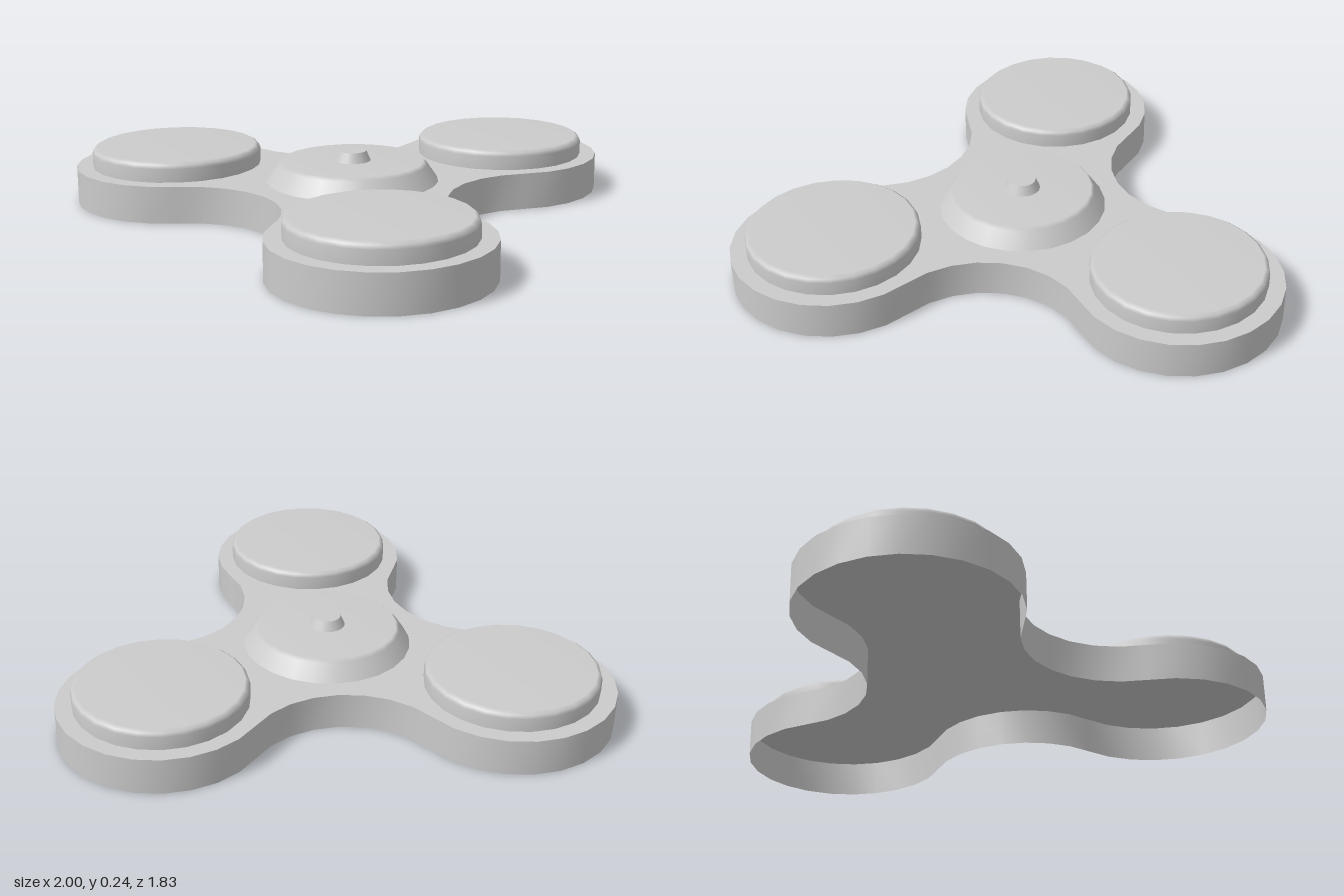
import * as THREE from 'three';

const HUB_Z = 0.178;   // hub centre along z
const ARM = 0.722;     // hub centre to lobe centre
const LOBE_R = 0.375;
const BODY_H = 0.135;
const TOP = 0.207;

const grey = new THREE.MeshStandardMaterial({ color: 0xcccccc });
const greyThin = new THREE.MeshStandardMaterial({ color: 0xcccccc, side: THREE.DoubleSide });

// Body outline in (x, z) around the hub: three convex lobes joined by tangent concave arcs
function bodyOutline() {
  const waist = 0.387;                       // hub centre to the middle of a concave arc
  const half = ARM * Math.sin(Math.PI / 3), along = ARM / 2;
  const d = waist - along;
  const r = (half * half + d * d - LOBE_R * LOBE_R) / (2 * (LOBE_R - d));
  const c = waist + r;                       // hub centre to the concave arc centre
  const sweep = Math.atan2(half, c - along); // half angle of the concave arc
  const lobeHalf = Math.PI / 3 + sweep;      // half angle of the lobe arc
  const pts = [];
  for (let k = 0; k < 3; k++) {
    const a = -Math.PI / 2 + k * Math.PI * 2 / 3, b = a + Math.PI / 3;
    for (let i = 0; i <= 16; i++) {
      const t = a - lobeHalf + (i / 16) * 2 * lobeHalf;
      pts.push(new THREE.Vector2(ARM * Math.cos(a) + LOBE_R * Math.cos(t), ARM * Math.sin(a) + LOBE_R * Math.sin(t)));
    }
    for (let i = 1; i < 8; i++) {
      const t = b + Math.PI - sweep + (i / 8) * 2 * sweep;
      // run against the lobe direction, since this arc bends inwards
      const u = 2 * (b + Math.PI) - t;
      pts.push(new THREE.Vector2(c * Math.cos(b) + r * Math.cos(u), c * Math.sin(b) + r * Math.sin(u)));
    }
  }
  return pts;
}

// Vertical strip following a closed outline
function wallGeometry(outline, height) {
  const pos = [], idx = [], n = outline.length;
  outline.forEach((p, i) => {
    pos.push(p.x, 0, p.y, p.x, height, p.y);
    const a = 2 * i, b = 2 * ((i + 1) % n);
    idx.push(a, a + 1, b, b, a + 1, b + 1);
  });
  const g = new THREE.BufferGeometry();
  g.setAttribute('position', new THREE.Float32BufferAttribute(pos, 3));
  g.setIndex(idx);
  g.computeVertexNormals();
  return g;
}

function add(parent, name, geometry, material = grey) {
  const mesh = new THREE.Mesh(geometry, material);
  mesh.name = name;
  parent.add(mesh);
  return mesh;
}

function turned(profile, segments = 24) {
  return new THREE.LatheGeometry(profile.map(([r, y]) => new THREE.Vector2(r, y)), segments);
}

export function createModel() {
  const model = new THREE.Group();
  model.name = 'threeArmSpinner';
  const spinner = new THREE.Group();
  spinner.name = 'spinner';
  spinner.position.z = HUB_Z;
  model.add(spinner);

  // Hollow body: side wall and top plate, open underneath
  const outline = bodyOutline();
  add(spinner, 'bodyWall', wallGeometry(outline, BODY_H), greyThin);
  const plate = new THREE.ShapeGeometry(new THREE.Shape(outline.map(p => new THREE.Vector2(p.x, -p.y))));
  plate.rotateX(-Math.PI / 2);
  add(spinner, 'bodyTop', plate, greyThin).position.y = BODY_H;

  // Round weight cap on each lobe
  const cap = turned([[0.315, BODY_H], [0.315, 0.185], [0.31, 0.198], [0.297, TOP], [0, TOP]]);
  for (let k = 0; k < 3; k++) {
    const a = -Math.PI / 2 + k * Math.PI * 2 / 3;
    add(spinner, 'weightCap' + (k + 1), cap).position.set(ARM * Math.cos(a), 0, ARM * Math.sin(a));
  }

  // Sloped centre hub with a small pin
  add(spinner, 'hub', turned([[0.311, BODY_H], [0.27, 0.195], [0.258, TOP], [0, TOP]]));
  const pin = add(spinner, 'hubPin', new THREE.CylinderGeometry(0.05, 0.066, 0.036, 20));
  pin.position.y = TOP + 0.018;

  return model;
}
